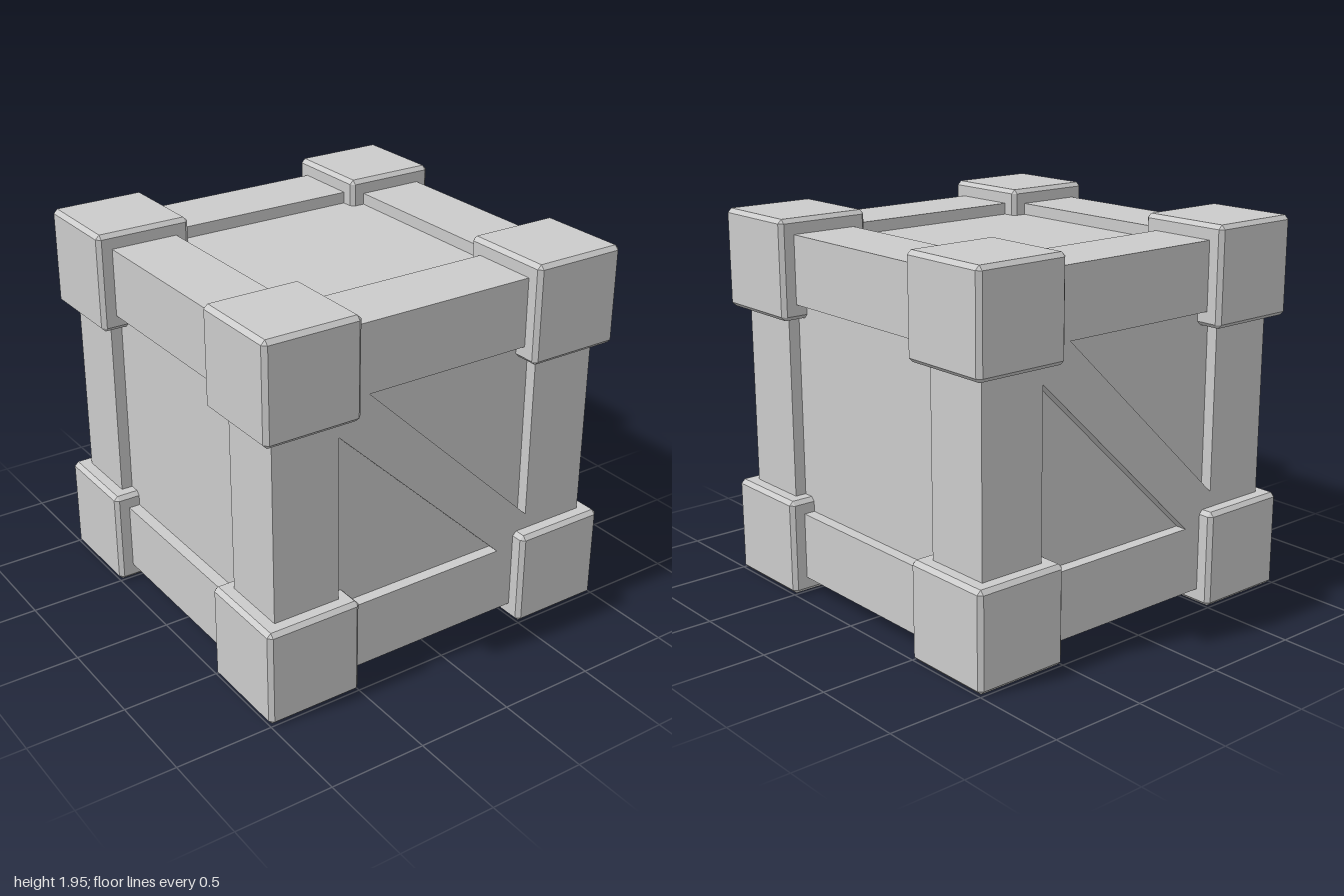
import * as THREE from 'three';
import { ConvexGeometry } from 'three/addons/geometries/ConvexGeometry.js';

const CY = 0.977;      // height of the crate's centre
const OUT = 0.924;     // outer face of the frame, from the centre
const OUT_Y = 0.897;   // same, vertically
const IN = 0.57;       // inner edge of the frame
const IN_Y = 0.548;
const RECESS = 0.06;   // depth of the panels behind the frame
const BLOCK = 0.505, BEVEL = 0.021;

// Cube with flat chamfers on every edge
function chamferedCube(size, bevel) {
  const h = size / 2, k = h - bevel, points = [];
  for (const x of [-1, 1]) for (const y of [-1, 1]) for (const z of [-1, 1]) {
    points.push(
      new THREE.Vector3(x * h, y * k, z * k),
      new THREE.Vector3(x * k, y * h, z * k),
      new THREE.Vector3(x * k, y * k, z * h));
  }
  return new ConvexGeometry(points);
}

export function createModel() {
  const crate = new THREE.Group();
  crate.name = 'crate';
  const material = new THREE.MeshStandardMaterial({ color: 0xcccccc, flatShading: true });

  function add(name, geometry, x, y, z) {
    const mesh = new THREE.Mesh(geometry, material);
    mesh.name = name;
    mesh.position.set(x, y, z);
    crate.add(mesh);
    return mesh;
  }

  // Recessed panels: one solid core
  const core = 2 * (OUT - RECESS);
  add('panels', new THREE.BoxGeometry(core, 2 * (OUT_Y - RECESS), core), 0, CY, 0);

  // Twelve frame beams, four along each axis, ending inside the corner blocks
  const w = OUT - IN, h = OUT_Y - IN_Y, mid = (OUT + IN) / 2, midY = (OUT_Y + IN_Y) / 2;
  const beamX = new THREE.BoxGeometry(2 * IN, h, w);
  const beamY = new THREE.BoxGeometry(w, 2 * IN_Y, w);
  const beamZ = new THREE.BoxGeometry(w, h, 2 * IN);
  for (const a of [-1, 1]) for (const b of [-1, 1]) {
    add('crossBeam', beamX, 0, CY + a * midY, b * mid);
    add('uprightBeam', beamY, a * mid, CY, b * mid);
    add('sideBeam', beamZ, a * mid, CY + b * midY, 0);
  }

  // Eight chamfered corner blocks
  const block = chamferedCube(BLOCK, BEVEL);
  const c = 1 - BLOCK / 2, low = BLOCK / 2, high = 1.952 - BLOCK / 2;
  for (const x of [-c, c]) for (const y of [low, high]) for (const z of [-c, c]) {
    add('cornerBlock', block, x, y, z);
  }

  // Diagonal braces on the front and back, flush with the frame
  const brace = new THREE.ExtrudeGeometry(new THREE.Shape([
    [-IN, 0.378], [0.395, -IN_Y], [IN, -IN_Y],
    [IN, -0.39], [-0.405, IN_Y], [-IN, IN_Y],
  ].map(([x, y]) => new THREE.Vector2(x, y))), { depth: RECESS + 0.02, bevelEnabled: false });
  brace.translate(0, 0, OUT - RECESS - 0.02);
  add('frontBrace', brace, 0, CY, 0);
  add('backBrace', brace, 0, CY, 0).rotation.y = Math.PI;

  return crate;
}
